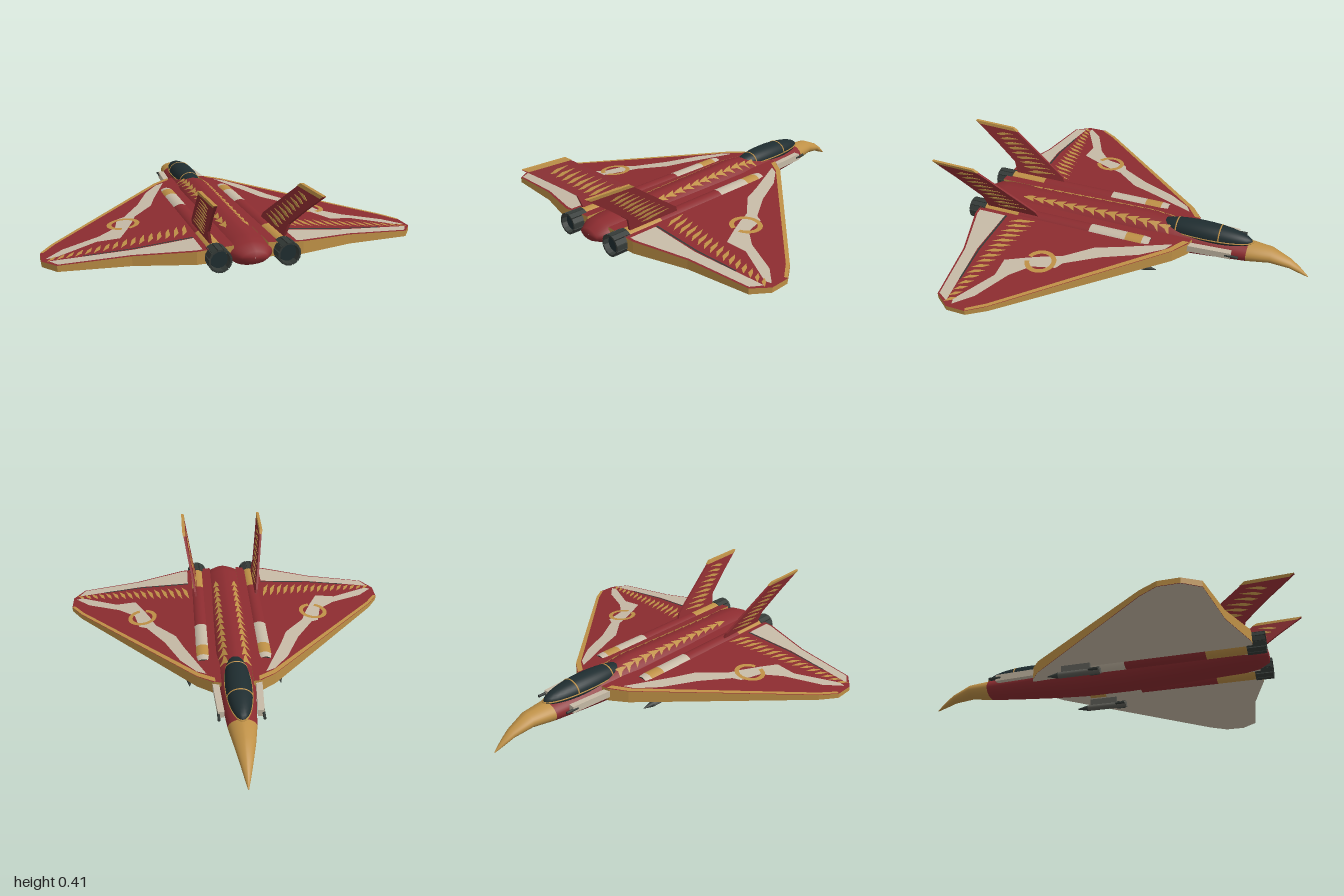
import * as THREE from 'three';

const mat = (name, color) => Object.assign(new THREE.MeshStandardMaterial({ color }), { name });
const red = mat('red', 0x8c2c30), gold = mat('gold', 0xbe9046), cream = mat('cream', 0xc6baa6);
const dark = mat('dark metal', 0x343a37), glass = mat('canopy glass', 0x1f2d30), grey = mat('grey metal', 0x5a5a54);

// Hull stations: z, half width, bottom y, top y
const hull = [
  [-1, 0.002, 0.003, 0.008], [-0.95, 0.017, 0.022, 0.055], [-0.9, 0.03, 0.043, 0.09], [-0.8, 0.052, 0.058, 0.133],
  [-0.68, 0.07, 0.042, 0.142], [-0.5, 0.085, 0.027, 0.155], [-0.3, 0.1, 0.012, 0.175], [-0.15, 0.108, 0.004, 0.192],
  [0.1, 0.112, 0.005, 0.184], [0.4, 0.112, 0.018, 0.174], [0.7, 0.112, 0.035, 0.165], [0.77, 0.1, 0.045, 0.155],
  [0.825, 0.06, 0.07, 0.128], [0.83, 0.002, 0.097, 0.101],
];
const HUMP = 1.25; // narrows the upper half of the hull

// Height of the hull's upper skin
function hullTop(x, z) {
  let i = 0;
  while (i < hull.length - 2 && hull[i + 1][0] < z) i++;
  const t = (z - hull[i][0]) / (hull[i + 1][0] - hull[i][0]);
  const [, w, b, y] = hull[i].map((v, k) => v + (hull[i + 1][k] - v) * t);
  const c = Math.min(1, Math.abs(x) / w) ** (1 / HUMP);
  return (b + y) / 2 + ((y - b) / 2) * Math.sqrt(1 - c * c);
}

function hullGeometry(sides = 40) {
  const pos = [], idx = [];
  for (const [z, w, b, t] of hull) for (let j = 0; j < sides; j++) {
    const a = (j / sides) * Math.PI * 2, c = Math.cos(a), s = Math.sin(a);
    const x = s > 0 ? Math.sign(c) * Math.abs(c) ** HUMP : c;
    pos.push(w * x, (b + t) / 2 + ((t - b) / 2) * s, z);
  }
  for (let i = 0; i < hull.length - 1; i++) for (let j = 0; j < sides; j++) {
    const a = i * sides + j, b = i * sides + ((j + 1) % sides);
    idx.push(a, b, a + sides, b, b + sides, a + sides);
  }
  const g = new THREE.BufferGeometry();
  g.setAttribute('position', new THREE.Float32BufferAttribute(pos, 3));
  g.setIndex(idx);
  g.computeVertexNormals();
  g.addGroup(0, 4 * sides * 6, 0); // beak
  g.addGroup(4 * sides * 6, Infinity, 1);
  return g;
}

const shapeOf = pts => new THREE.Shape(pts.map(p => new THREE.Vector2(...p)));
const wingTop = x => 0.135 - 0.055 * (Math.abs(x) - 0.2) / 0.7;
const wingBottom = x => 0.072 - 0.017 * (Math.abs(x) - 0.2) / 0.7;

// Moves each vertex by a rule and refreshes normals
function warp(g, rule) {
  const p = g.attributes.position, v = new THREE.Vector3();
  for (let i = 0; i < p.count; i++) { rule(v.fromBufferAttribute(p, i)); p.setXYZ(i, v.x, v.y, v.z); }
  g.computeVertexNormals();
  return g;
}
// Upward-facing skin panel laid on a height rule; points are x, z
const skin = (pts, s, height) => warp(
  new THREE.ShapeGeometry(shapeOf(pts.map(([x, z]) => [s * x, -z]))).rotateX(-Math.PI / 2),
  v => { v.y = height(v.x, v.z); });
// Canted tail panel; points are z, y
const finPanel = (pts, s, depth) => warp(
  new THREE.ExtrudeGeometry(shapeOf(pts), { depth, bevelEnabled: false }).translate(0, 0, -depth / 2).rotateY(-Math.PI / 2),
  v => { v.x += s * (0.17 + (v.y - 0.13) * 0.235); });
// Tube along z between two stations
const tube = (r0, r1, z0, z1, open = false, n = 24) =>
  new THREE.CylinderGeometry(r1, r0, z1 - z0, n, 1, open).rotateX(Math.PI / 2).translate(0, 0, (z0 + z1) / 2);

const wingOutline = [[0.08, -0.4], [0.12, -0.39], [0.2, -0.33], [0.84, 0.38], [0.9, 0.47], [0.9, 0.57],
  [0.84, 0.65], [0.52, 0.69], [0.25, 0.77], [0.08, 0.77]];

export function createModel() {
  const root = new THREE.Group();
  root.name = 'aircraft';
  const add = (parent, name, g, m, x = 0, y = 0, z = 0) => {
    const mesh = new THREE.Mesh(g, m);
    mesh.name = name;
    mesh.position.set(x, y, z);
    parent.add(mesh);
    return mesh;
  };

  add(root, 'fuselage', hullGeometry(), [gold, red]);

  // Canopy with frame hoops and sill
  const cz = -0.44, cy = 0.147, rx = 0.066, ry = 0.057, rz = 0.26;
  add(root, 'canopy', new THREE.SphereGeometry(1, 32, 20).scale(rx, ry, rz), glass, 0, cy, cz);
  add(root, 'canopySill', new THREE.TorusGeometry(1, 0.05, 6, 48).rotateX(Math.PI / 2).scale(0.066, 0.07, 0.255), gold, 0, cy, cz);
  for (const z of [-0.53, -0.3]) {
    const k = Math.sqrt(1 - ((z - cz) / rz) ** 2);
    add(root, 'canopyHoop', new THREE.TorusGeometry(1, 0.05, 6, 24, Math.PI).scale(rx * k, ry * k, 0.08), gold, 0, cy, z);
  }

  for (const s of [1, -1]) {
    const side = new THREE.Group();
    side.name = s > 0 ? 'leftSide' : 'rightSide';
    root.add(side);

    // Delta wing: red skin, gold rim, pale underside
    const slab = new THREE.ExtrudeGeometry(shapeOf(wingOutline.map(([x, z]) => [s * x, -z])), { depth: 1, bevelEnabled: false });
    add(side, 'wing', warp(slab.rotateX(-Math.PI / 2), v => {
      v.y = v.y > 0.5 ? wingTop(v.x) : wingBottom(v.x);
    }), [red, gold]);
    add(side, 'wingUnderside', warp(
      new THREE.ShapeGeometry(shapeOf(wingOutline.map(([x, z]) => [s * x, z]))).rotateX(Math.PI / 2),
      v => { v.y = wingBottom(v.x) - 0.002; }), cream);
    const paint = (name, pts, m, lift = 0.002) => add(side, name, skin(pts, s, x => wingTop(x) + lift), m);
    paint('leadingEdgeTrim', [[0.11, -0.393], [0.2, -0.33], [0.84, 0.38], [0.9, 0.47], [0.885, 0.475], [0.825, 0.39],
      [0.19, -0.305], [0.11, -0.36]], gold, 0.003);
    paint('wingStripe', [[0.15, -0.32], [0.2, -0.29], [0.28, -0.18], [0.36, 0], [0.46, 0.16], [0.5, 0.18], [0.53, 0.3],
      [0.62, 0.38], [0.8, 0.47], [0.88, 0.55], [0.85, 0.56], [0.64, 0.445], [0.53, 0.45], [0.48, 0.35], [0.44, 0.26],
      [0.41, 0.18], [0.3, 0.05], [0.26, -0.06]], cream);
    paint('trailingFlap', [[0.22, 0.605], [0.5, 0.62], [0.87, 0.585], [0.835, 0.642], [0.52, 0.68], [0.25, 0.757], [0.22, 0.757]], cream);
    paint('hingeLine', [[0.22, 0.592], [0.5, 0.605], [0.72, 0.592], [0.72, 0.6], [0.5, 0.614], [0.22, 0.603]], dark, 0.003);
    for (let i = 0; i < 16; i++) {
      const t = i / 15, x = 0.215 + 0.62 * t, top = 0.42 + 0.125 * t, bottom = 0.565 + 0.03 * t, h = bottom - top;
      paint('wingFeather', [[x, top], [x + 0.025, top + h * 0.35], [x + 0.045, bottom], [x + 0.012, top + h * 0.65]], gold, 0.004);
    }
    const ring = new THREE.RingGeometry(0.056, 0.08, 32, 1, -Math.PI / 2 + 0.25, Math.PI * 2 - 0.5).rotateX(-Math.PI / 2);
    add(side, 'wingRing', warp(ring.translate(s * 0.485, 0, 0.27), v => { v.y = wingTop(v.x) + 0.005; }), gold);

    // Serrated feathers along the spine
    for (let i = 0; i < 14; i++) {
      const z = -0.28 + i * 0.06, w = 0.088 - i * 0.0012;
      add(side, 'spineFeather', skin([[0.036, z], [0.055, z + 0.015], [w, z + 0.005], [0.066, z + 0.035], [0.056, z + 0.075],
        [0.046, z + 0.05]], s, (x, zz) => hullTop(x, zz) + 0.004), gold);
    }

    // Engine nacelle in painted bands, then the nozzle
    const engine = new THREE.Group();
    engine.name = 'engine';
    engine.position.set(s * 0.16, 0.1, 0);
    side.add(engine);
    [[-0.2, -0.16, cream], [-0.16, -0.07, gold], [-0.07, 0.13, cream], [0.13, 0.54, red], [0.54, 0.74, gold]]
      .forEach(([a, b, m]) => add(engine, 'nacelleBand', tube(a < -0.18 ? 0.046 : 0.05, 0.05, a, b, true), m));
    add(engine, 'intakeFace', tube(0.045, 0.045, -0.199, -0.19), dark);
    add(engine, 'nozzleCore', tube(0.05, 0.04, 0.73, 0.805), glass);
    for (let i = 0; i < 12; i++) {
      const petal = add(engine, 'nozzlePetal', new THREE.BoxGeometry(0.024, 0.009, 0.09), dark, 0, 0, 0.785);
      const a = (i / 12) * Math.PI * 2;
      petal.position.x = 0.049 * Math.cos(a);
      petal.position.y = 0.049 * Math.sin(a);
      petal.rotation.z = a - Math.PI / 2;
    }

    // Cheek fairing with a gun
    const cheek = add(side, 'cheekFairing', new THREE.BoxGeometry(0.032, 0.035, 0.3), cream, s * 0.104, 0.112, -0.46);
    cheek.rotation.y = s * 0.06;
    add(side, 'gunBarrel', tube(0.007, 0.007, -0.65, -0.58, false, 10), dark, s * 0.108, 0.112, 0);

    // Canted tail fin with gold cap and barbs
    add(side, 'tailFin', finPanel([[0.42, 0.13], [0.44, 0.172], [0.76, 0.4], [1, 0.405], [0.87, 0.31], [0.745, 0.21], [0.72, 0.13]], s, 0.012), red);
    add(side, 'finCap', finPanel([[0.735, 0.385], [0.76, 0.402], [1, 0.408], [0.975, 0.392]], s, 0.016), gold);
    for (let i = 0; i < 9; i++) {
      const y = 0.165 + i * 0.023, c = 0.62 + 1.3 * (y - 0.2), w = 0.085 - i * 0.004;
      add(side, 'finBarb', finPanel([[c - w, y + 0.018], [c + w * 0.5, y], [c + w, y + 0.004], [c + w * 0.3, y + 0.017]], s, 0.016), gold);
    }

    // Store hung under the wing
    const store = new THREE.Group();
    store.name = 'underwingStore';
    store.position.set(s * 0.237, 0.022, 0);
    side.add(store);
    add(store, 'storeBody', tube(0.016, 0.016, -0.2, 0.02, false, 14), grey);
    add(store, 'storeNose', tube(0.002, 0.016, -0.26, -0.2, false, 14), dark);
    add(store, 'storeFins', new THREE.BoxGeometry(0.07, 0.004, 0.05), dark, 0, 0, -0.01);
    add(store, 'storeKeel', new THREE.BoxGeometry(0.004, 0.042, 0.05), dark, 0, 0, -0.01);
    add(store, 'pylon', new THREE.BoxGeometry(0.014, 0.045, 0.15), grey, 0, 0.033, -0.11);
  }
  return root;
}
